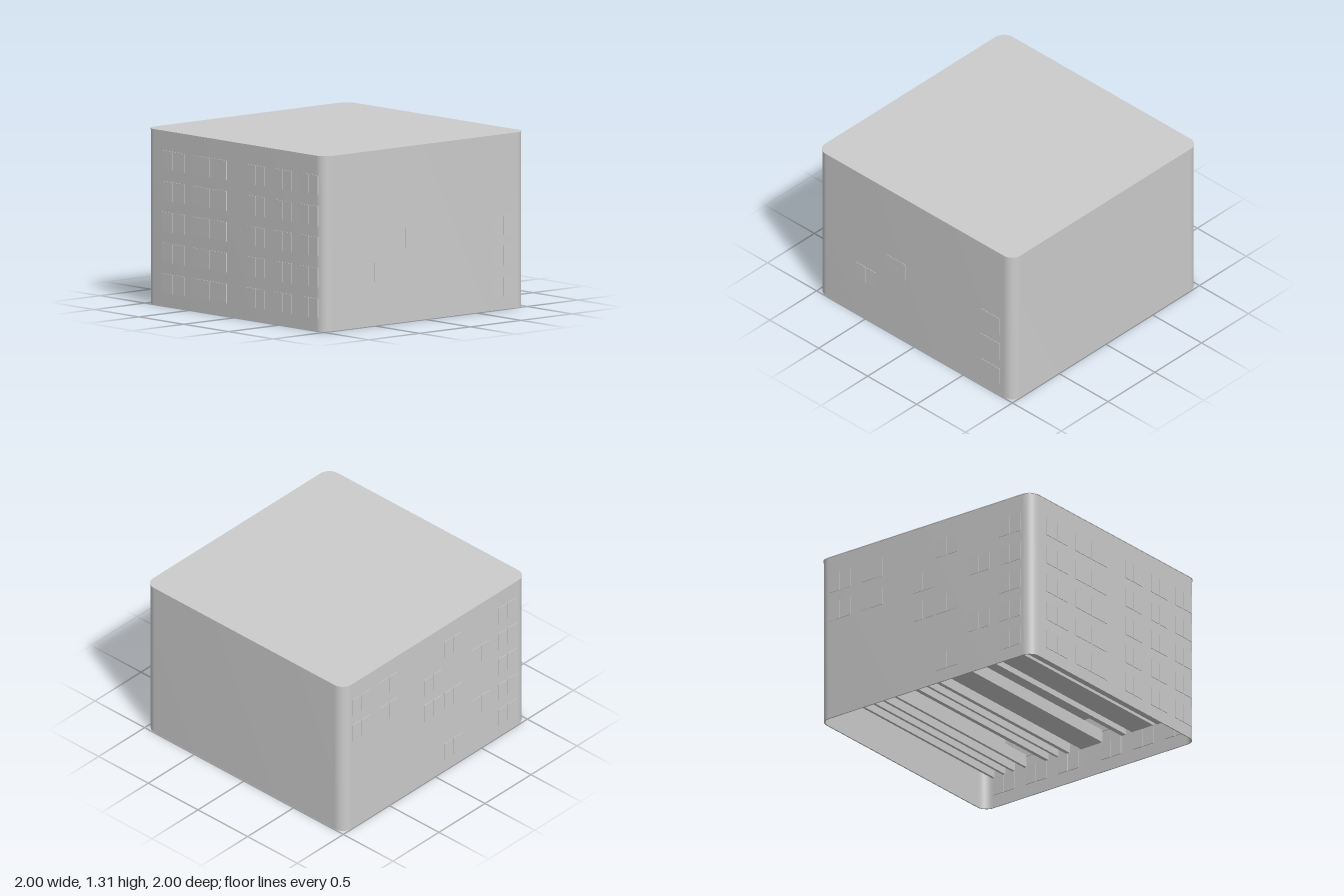
import * as THREE from 'three';
import { toCreasedNormals } from 'three/addons/utils/BufferGeometryUtils.js';

const mat = new THREE.MeshStandardMaterial({ color: 0xcccccc });
const H = 1.31, HALF = 0.994, RADIUS = 0.088, WALL = 0.01;
const ROWS = [0.17, 0.4, 0.63, 0.86, 1.09];
const WIN_H = 0.145;

// Traces a square with rounded corners
function roundedSquare(path, half, r) {
  path.moveTo(half, -half + r);
  path.lineTo(half, half - r);
  path.absarc(half - r, half - r, r, 0, Math.PI / 2);
  path.absarc(-half + r, half - r, r, Math.PI / 2, Math.PI);
  path.absarc(-half + r, -half + r, r, Math.PI, Math.PI * 1.5);
  path.absarc(half - r, -half + r, r, Math.PI * 1.5, Math.PI * 2);
  return path;
}

// Horizontal slab, or a ring when a wall thickness is given
function slab(name, half, r, y0, y1, wall = 0) {
  const shape = roundedSquare(new THREE.Shape(), half, r);
  if (wall) shape.holes.push(roundedSquare(new THREE.Path(), half - wall, r - wall));
  const geo = new THREE.ExtrudeGeometry(shape, { depth: y1 - y0, bevelEnabled: false, curveSegments: 10 });
  geo.rotateX(-Math.PI / 2);
  geo.translate(0, y0, 0);
  const mesh = new THREE.Mesh(toCreasedNormals(geo, 0.5), mat);
  mesh.name = name;
  return mesh;
}

function box(name, w, h, d, x, y, z) {
  const mesh = new THREE.Mesh(new THREE.BoxGeometry(w, h, d), mat);
  mesh.position.set(x, y, z);
  mesh.name = name;
  return mesh;
}

// Two-pane window facing +z, set shallowly into the wall
function makeWindow(u, y, width, out) {
  const win = new THREE.Group();
  win.name = 'window';
  const depth = out + 0.005;
  for (const s of [-1, 1]) {
    win.add(box('pane', width / 2 - 0.006, WIN_H, depth, u + s * width / 4, y, HALF + out - depth / 2));
  }
  return win;
}

// One side of windows: each column is [centre, width, storeys]
function windowSide(name, columns, out, turn) {
  const side = new THREE.Group();
  side.name = name;
  for (const [u, width, rows] of columns) {
    for (const r of rows) side.add(makeWindow(u, ROWS[r], width, out));
  }
  side.rotation.y = turn;
  return side;
}

export function createModel() {
  const model = new THREE.Group();
  model.name = 'building';
  const inner = HALF - WALL;

  // Hollow shell, open below, closed by a thin roof
  model.add(slab('outerWalls', HALF, RADIUS, 0, H - 0.006, WALL));
  model.add(slab('roof', 0.998, 0.09, H - 0.006, H));

  // Beams above each storey, running front to back: [centre, width]
  const beams = [
    [0.9, 0.02], [0.8, 0.02], [0.71, 0.02], [0.6, 0.02], [0.4, 0.03], [0.3, 0.02],
    [0.2, 0.03], [-0.02, 0.2], [-0.32, 0.04], [-0.5, 0.2], [-0.77, 0.28],
  ];
  for (const y of ROWS) {
    for (const [x, w] of beams) model.add(box('beam', w, 0.1, 2 * inner, x, y + 0.12, 0));

    // Inner frames of the front windows on this storey
    for (const x of [0.8, 0.5, 0.2, -0.2, -0.5, -0.8]) {
      for (const s of [-1, 1]) {
        model.add(box('innerFrame', 0.09, WIN_H, 0.008, x + s * 0.05, y, inner - 0.003));
      }
    }
  }

  // Outer windows on three sides; columns run left to right as seen from outside
  const all = [0, 1, 2, 3, 4];
  model.add(windowSide('frontWindows', [
    [0.77, 0.2, [0, 1, 2]], [-0.195, 0.2, [2]], [-0.5, 0.2, [1]],
  ], 0.003, 0));
  model.add(windowSide('backWindows', [
    [0.79, 0.2, all], [0.5, 0.2, [1, 3]], [0.2, 0.2, [0, 2, 4]],
    [-0.02, 0.2, [2, 3]], [-0.5, 0.2, [3, 4]], [-0.8, 0.2, [3, 4]],
  ], 0.004, Math.PI));
  model.add(windowSide('sideWindows', [
    [-0.69, 0.26, all], [-0.28, 0.38, all], [0.23, 0.2, all], [0.54, 0.2, all], [0.83, 0.2, all],
  ], 0.005, -Math.PI / 2));

  return model;
}
